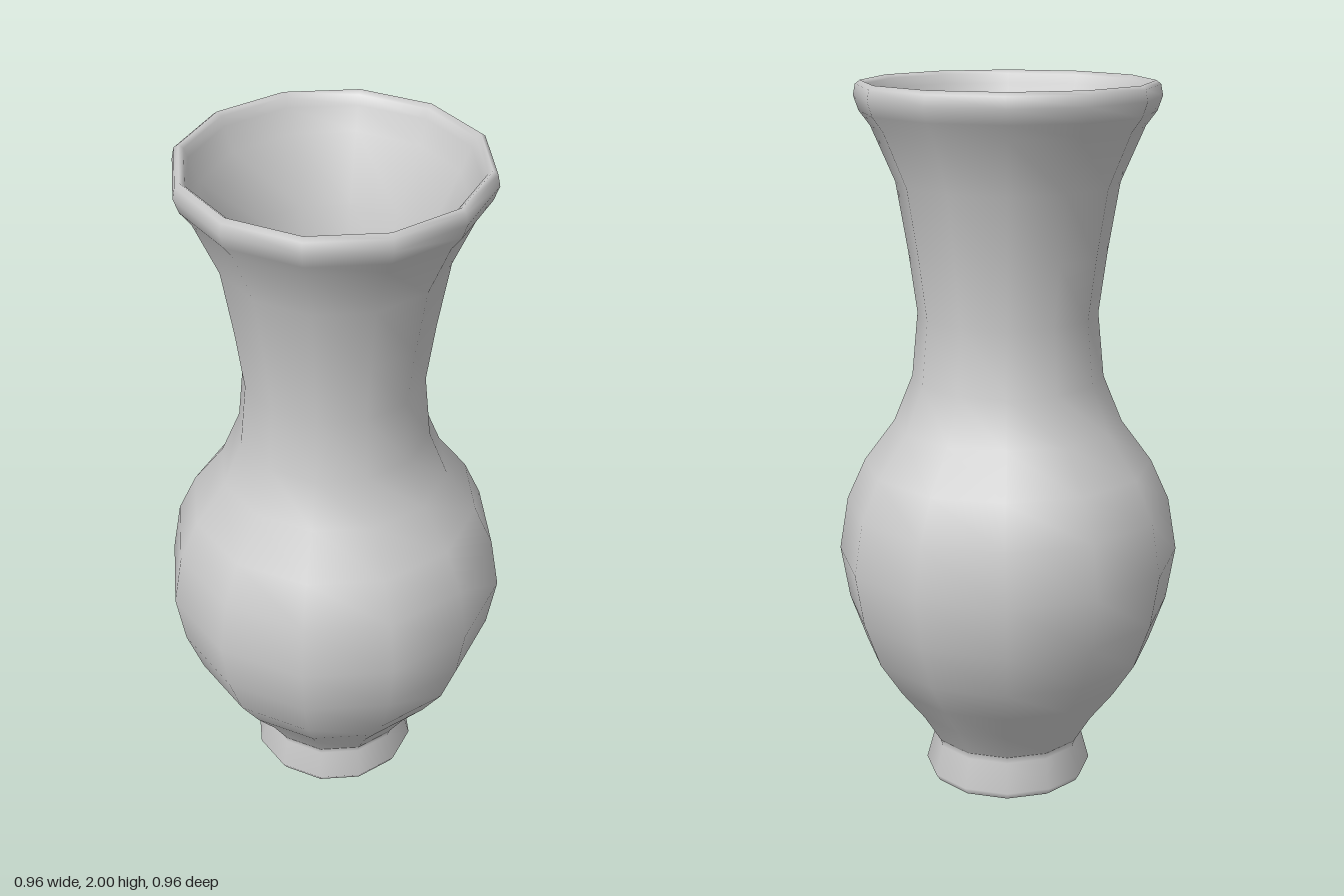
import * as THREE from 'three';

const SIDES = 12;

// Revolve a list of [radius, height] pairs around the y axis.
function revolve(name, profile, material) {
  const points = profile.map(([r, y]) => new THREE.Vector2(r, y));
  const mesh = new THREE.Mesh(new THREE.LatheGeometry(points, SIDES), material);
  mesh.name = name;
  return mesh;
}

export function createModel() {
  const group = new THREE.Group();
  group.name = 'vase';
  const material = new THREE.MeshStandardMaterial({ color: 0xcccccc });

  // Belly and neck, shared by the outer wall and the offset inner wall
  const wall = [
    [0.275, 0.21], [0.345, 0.3], [0.41, 0.4], [0.457, 0.53],
    [0.482, 0.68], [0.457, 0.83], [0.405, 0.945], [0.32, 1.06],
    [0.267, 1.19], [0.25, 1.37], [0.273, 1.54], [0.305, 1.73],
  ];
  const thickness = 0.046;
  const inner = wall.map(([r, y]) => [r - thickness, y]).reverse();

  // Rounded lip
  const lip = [
    [0.37, 1.88], [0.4, 1.92], [0.414, 1.96], [0.408, 1.99],
    [0.395, 2], [0.382, 1.99], [0.372, 1.965], [0.345, 1.9],
  ];

  // Body: up the outside, over the lip, down the inside to the floor
  group.add(revolve('body', [
    [0.222, 0.125], ...wall, ...lip, ...inner, [0.19, 0.16], [0, 0.15],
  ], material));

  // Flared foot ring and flat underside
  group.add(revolve('foot', [[0.228, 0], [0.24, 0.02], [0.217, 0.105], [0.222, 0.125]], material));
  group.add(revolve('underside', [[0, 0], [0.228, 0]], material));

  return group;
}
